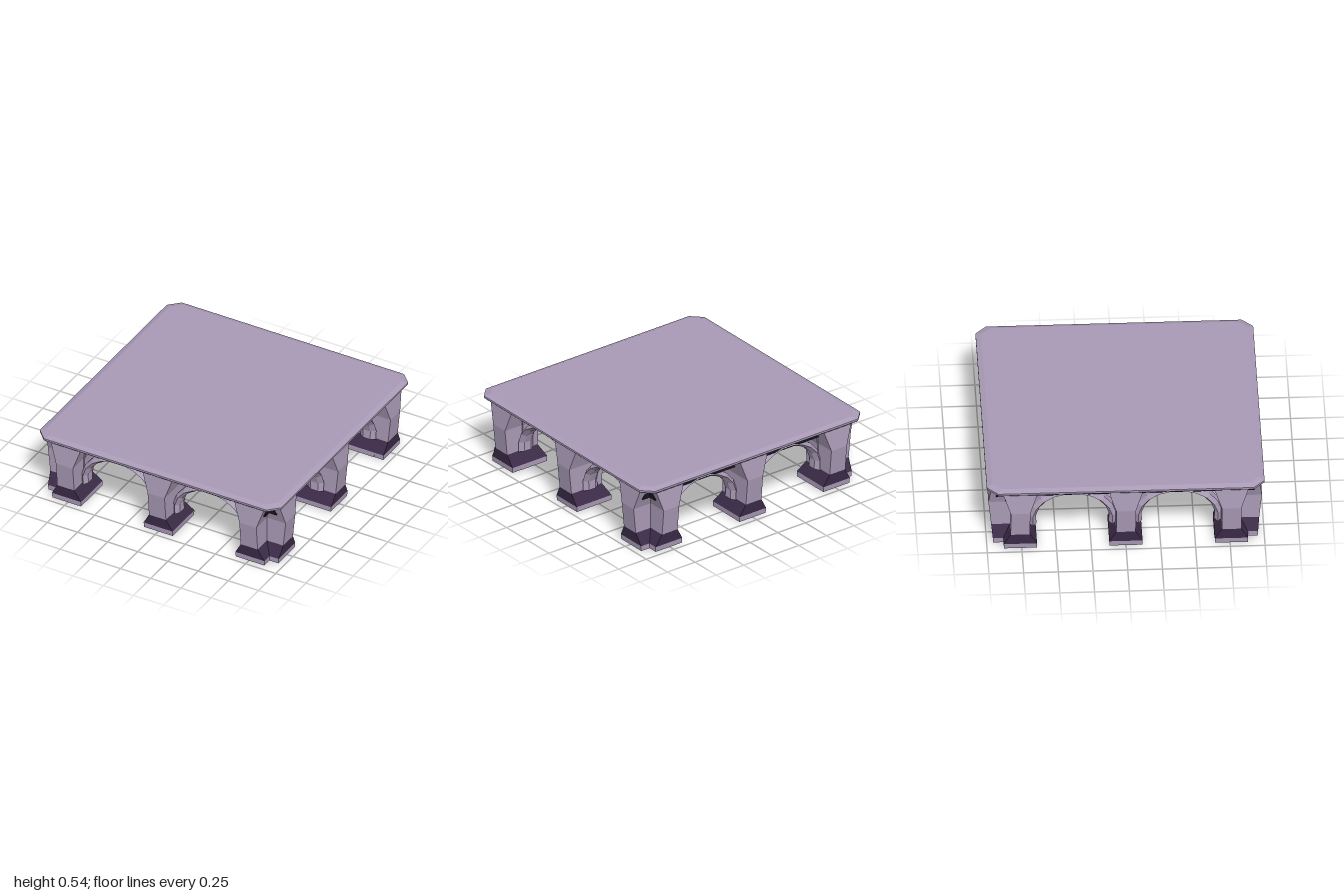
import * as THREE from 'three';

const mat = (name, color) => {
  const m = new THREE.MeshStandardMaterial({ color });
  m.name = name;
  return m;
};

// Closed loft through polygon rings, flat shaded; slots = material index for [start cap, each band..., end cap]
function loft(rings, slots) {
  const pos = [], geo = new THREE.BufferGeometry();
  const tri = (...pts) => pts.forEach(p => pos.push(...p));
  const close = (start, slot) => geo.addGroup(start, pos.length / 3 - start, slot);
  const n = rings[0].length, last = rings[rings.length - 1];
  for (let i = 1; i < n - 1; i++) tri(rings[0][0], rings[0][i + 1], rings[0][i]);
  close(0, slots[0]);
  for (let r = 0; r < rings.length - 1; r++) {
    const start = pos.length / 3, lo = rings[r], hi = rings[r + 1];
    for (let i = 0; i < n; i++) {
      const j = (i + 1) % n;
      tri(lo[i], lo[j], hi[j]);
      tri(lo[i], hi[j], hi[i]);
    }
    close(start, slots[r + 1]);
  }
  const start = pos.length / 3;
  for (let i = 1; i < n - 1; i++) tri(last[0], last[i], last[i + 1]);
  close(start, slots[slots.length - 1]);
  geo.setAttribute('position', new THREE.Float32BufferAttribute(pos, 3));
  geo.computeVertexNormals();
  return geo;
}

const rect = (y, hx, z0, z1) => [[-hx, y, z0], [-hx, y, z1], [hx, y, z1], [hx, y, z0]];

const octagon = (y, h, cut) => {
  const k = h - cut;
  return [[-k, y, -h], [-h, y, -k], [-h, y, k], [-k, y, h],
    [k, y, h], [h, y, k], [h, y, -k], [k, y, -h]];
};

// Arch with a six-sided section, bevelled on its inner and outer edges
function archGeometry(segments) {
  // [horizontal radius, vertical radius, z]
  const section = [
    [0.265, 0.215, 0.785], [0.265, 0.215, 0.845], [0.29, 0.235, 0.88],
    [0.318, 0.255, 0.845], [0.318, 0.255, 0.785], [0.29, 0.235, 0.75],
  ];
  const rings = [];
  for (let i = 0; i <= segments; i++) {
    const a = -0.2 + (Math.PI + 0.4) * i / segments;
    rings.push(section.map(([rx, ry, z]) => [rx * Math.cos(a), 0.185 + ry * Math.sin(a), z]));
  }
  return loft(rings, new Array(segments + 2).fill(0));
}

export function createModel() {
  const stone = mat('lavender stone', 0xa99ab6);
  const plum = mat('dark plum stone', 0x3d2c49);
  const black = mat('shadow black', 0x161620);
  const palette = [stone, plum, black];
  const model = new THREE.Group();

  const add = (parent, name, geo, material, x = 0, y = 0, z = 0) => {
    const mesh = new THREE.Mesh(geo, material);
    mesh.name = name;
    mesh.position.set(x, y, z);
    parent.add(mesh);
  };

  // Platform top with clipped corners and bevelled rim
  add(model, 'platformTop', loft([
    octagon(0.5, 0.99, 0.08), octagon(0.51, 1, 0.08),
    octagon(0.525, 1, 0.08), octagon(0.54, 0.96, 0.07),
  ], [2, 0, 0, 0, 0]), palette);

  // Ceiling under the platform
  add(model, 'ceiling', new THREE.BoxGeometry(1.6, 0.05, 1.6), plum, 0, 0.428, 0);

  // Shared parts for the four sides
  const pillar = loft([
    rect(0, 0.118, 0.64, 0.952), rect(0.04, 0.12, 0.64, 0.955), rect(0.13, 0.07, 0.69, 0.965),
    rect(0.33, 0.07, 0.68, 0.985), rect(0.5, 0.127, 0.62, 0.965),
  ], [2, 0, 1, 0, 0, 0]);
  const arch = archGeometry(11);
  const beam = loft([rect(0.405, 0.93, 0.78, 0.87), rect(0.5, 0.885, 0.78, 0.87)], [2, 2, 2]);
  const moulding = new THREE.BoxGeometry(1.68, 0.014, 0.03);

  for (let i = 0; i < 4; i++) {
    const side = new THREE.Group();
    side.name = ['frontSide', 'leftSide', 'backSide', 'rightSide'][i];
    side.rotation.y = i * Math.PI / 2;
    for (const x of [-0.76, 0, 0.76]) add(side, 'pillar', pillar, palette, x);
    for (const x of [-0.38, 0.38]) add(side, 'arch', arch, palette, x);
    add(side, 'beam', beam, palette);
    for (const y of [0.443, 0.466, 0.488]) add(side, 'moulding', moulding, stone, 0, y, 0.866);
    model.add(side);
  }
  return model;
}
